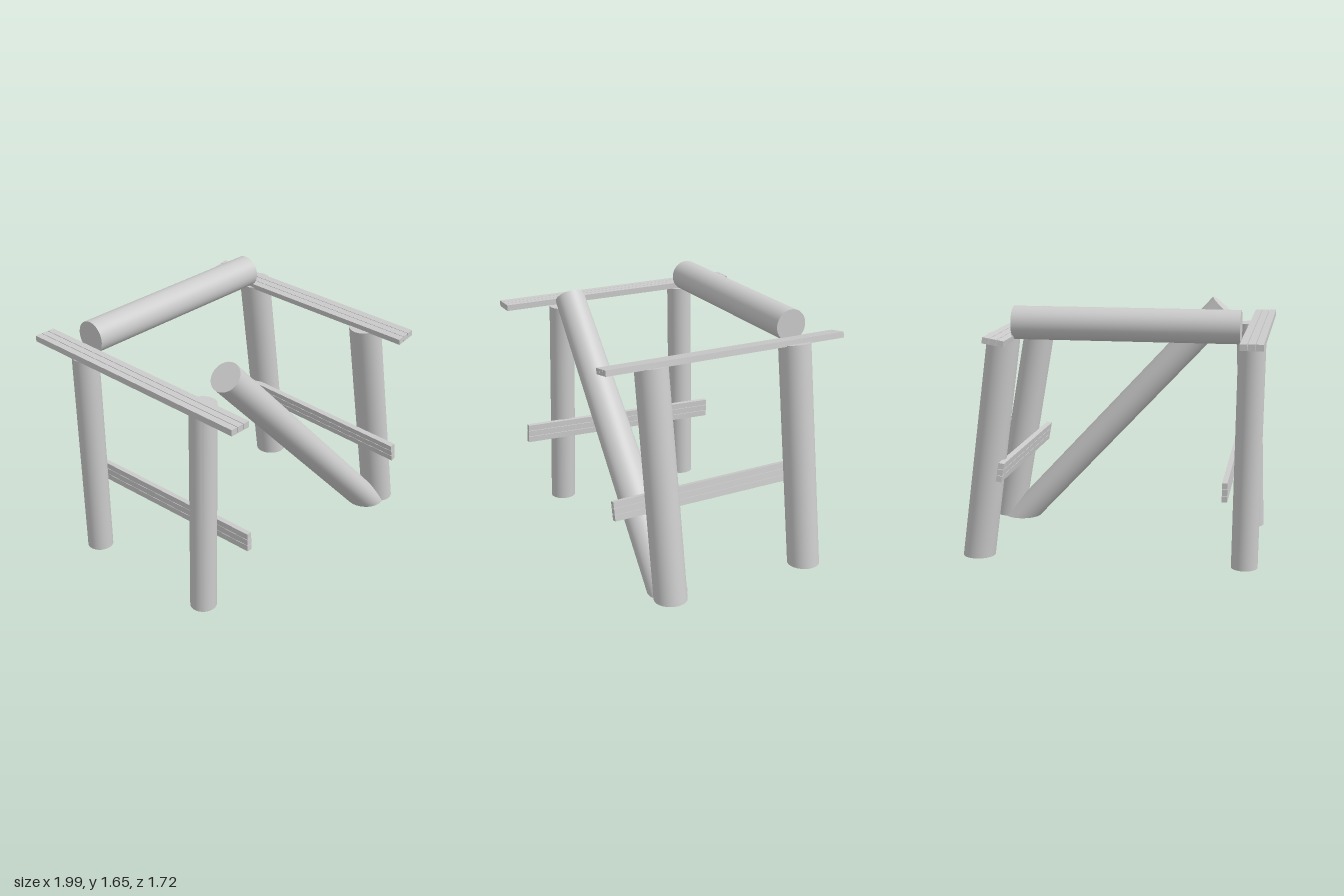
import * as THREE from 'three';
import { toCreasedNormals } from 'three/addons/utils/BufferGeometryUtils.js';

const material = new THREE.MeshStandardMaterial({ color: 0xcccccc });

// Round pole: the top end is cut square to its axis, the foot lies flat on the ground
function pole(name, foot, top, footRadius, topRadius) {
  const a = new THREE.Vector3(...foot);
  const b = new THREE.Vector3(...top);
  const up = new THREE.Vector3(0, 1, 0);
  const tilt = new THREE.Quaternion().setFromUnitVectors(up, b.clone().sub(a).normalize());
  const geometry = new THREE.CylinderGeometry(topRadius, footRadius, 1, 48);
  const position = geometry.attributes.position;
  const p = new THREE.Vector3();
  for (let i = 0; i < position.count; i++) {
    p.fromBufferAttribute(position, i);
    const isTop = p.y > 0;
    p.y = 0;
    if (isTop) p.applyQuaternion(tilt).add(b);
    else p.add(a);
    position.setXYZ(i, p.x, p.y, p.z);
  }
  const mesh = new THREE.Mesh(toCreasedNormals(geometry, 0.5), material);
  mesh.name = name;
  return mesh;
}

// Three slats side by side along 'axis', running in z
function slats(name, axis, pitch, size, center, rotX, rotZ) {
  const group = new THREE.Group();
  group.name = name;
  for (let i = -1; i <= 1; i++) {
    const slat = new THREE.Mesh(new THREE.BoxGeometry(...size), material);
    slat.name = 'slat';
    slat.position[axis] = i * pitch;
    group.add(slat);
  }
  group.position.set(...center);
  group.rotation.set(rotX, 0, rotZ);
  return group;
}

export function createModel() {
  const model = new THREE.Group();
  model.name = 'trestleFrame';

  // Four legs
  model.add(
    pole('frontLeftLeg', [0.89, 0, 0.507], [0.642, 1.445, 0.507], 0.106, 0.105),
    pole('backLeftLeg', [0.852, 0, -0.492], [0.66, 1.455, -0.492], 0.105, 0.105),
    pole('frontRightLeg', [-0.878, 0, 0.488], [-0.831, 1.447, 0.468], 0.085, 0.086),
    pole('backRightLeg', [-0.89, 0, -0.49], [-0.91, 1.447, -0.49], 0.085, 0.086),
  );

  // Long diagonal brace across the front
  model.add(pole('diagonalBrace', [0.79, 0, 0.478], [-0.653, 1.552, 0.48], 0.13, 0.1));

  // Horizontal beam across the back
  const beam = new THREE.Mesh(new THREE.CylinderGeometry(0.105, 0.105, 1.427, 48), material);
  beam.name = 'backBeam';
  beam.rotation.z = Math.PI / 2;
  beam.position.set(-0.128, 1.545, -0.51);
  model.add(beam);

  // Slatted planks resting on the legs
  model.add(
    slats('rightTopPlanks', 'x', 0.049, [0.045, 0.04, 1.724], [-0.927, 1.472, -0.003], 0, 0),
    slats('leftTopPlanks', 'x', 0.046, [0.043, 0.038, 1.664], [0.645, 1.462, 0.004], 0, 0.17),
  );

  // Lower side rails on the inner faces of the legs
  model.add(
    slats('rightSideRail', 'y', 0.042, [0.034, 0.039, 1.42], [-0.767, 0.548, 0.073], -0.032, 0),
    slats('leftSideRail', 'y', 0.042, [0.036, 0.039, 1.42], [0.667, 0.58, 0.075], 0.021, 0.17),
  );

  return model;
}
